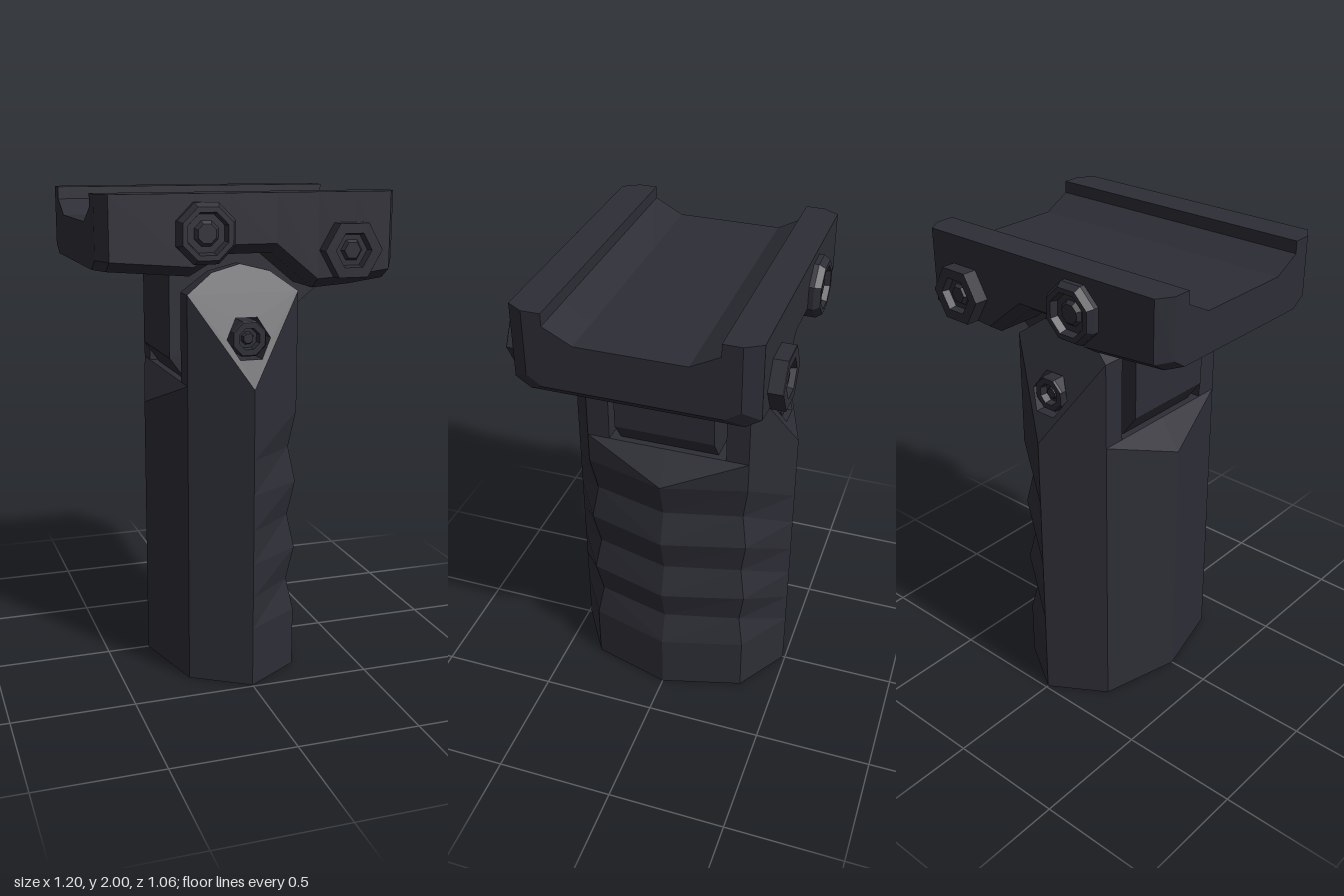
import * as THREE from 'three';

const V = (x, y, z) => new THREE.Vector3(x, y, z);

// Skin matching rings of points and cap both ends; flat(p) gives the 2D cap coordinates
function loft(rings, flat) {
  const out = [], n = rings[0].length;
  const tri = (a, b, c) => [a, b, c].forEach(p => out.push(p.x, p.y, p.z));
  for (let i = 0; i < rings.length - 1; i++) {
    const a = rings[i], b = rings[i + 1];
    for (let j = 0; j < n; j++) {
      const k = (j + 1) % n;
      if (j % 2 === 0) { tri(a[j], b[k], a[k]); tri(a[j], b[j], b[k]); }
      else { tri(a[j], b[j], a[k]); tri(a[k], b[j], b[k]); }
    }
  }
  const first = rings[0], last = rings[rings.length - 1];
  for (const [p, q, r] of THREE.ShapeUtils.triangulateShape(first.map(flat), [])) tri(first[p], first[q], first[r]);
  for (const [p, q, r] of THREE.ShapeUtils.triangulateShape(last.map(flat), [])) tri(last[p], last[r], last[q]);
  const g = new THREE.BufferGeometry();
  g.setAttribute('position', new THREE.Float32BufferAttribute(out, 3));
  return g;
}

// Extrude an outline between z = back and z = front(x, y)
function slab(points, back, front, hole) {
  const shape = new THREE.Shape(points.map(p => new THREE.Vector2(...p)));
  if (hole) shape.holes.push(hole);
  const g = new THREE.ExtrudeGeometry(shape, { depth: 1, bevelEnabled: false });
  const p = g.attributes.position;
  for (let i = 0; i < p.count; i++) p.setZ(i, p.getZ(i) < 0.5 ? back : front(p.getX(i), p.getY(i)));
  return g;
}

// Faceted bolt head with a recessed core, pointing along +z
function boltHead(sides, r, ri, z0, z1, chamfer) {
  const profile = [[r, z0], [r, z1 - chamfer], [r - chamfer * 0.7, z1], [ri, z1], [ri * 0.9, z1 - 0.03],
    [ri * 0.6, z1 - 0.03], [ri * 0.45, z1 - 0.015], [0, z1 - 0.015]];
  const g = new THREE.LatheGeometry(profile.map(p => new THREE.Vector2(...p)), sides, Math.PI / sides);
  return g.rotateX(Math.PI / 2);
}

export function createModel() {
  const group = new THREE.Group();
  const polymer = new THREE.MeshStandardMaterial({ color: 0x2d2d36, flatShading: true });
  polymer.name = 'darkPolymer';

  const add = (name, geometry, x = 0, y = 0, turn = 0) => {
    const g = geometry.index ? geometry.toNonIndexed() : geometry;
    g.computeVertexNormals();
    const m = new THREE.Mesh(g, polymer);
    m.name = name;
    m.position.set(x, y, 0);
    m.rotation.y = turn;
    group.add(m);
    return m;
  };

  // Grip: eight-sided column with finger grooves on +x
  const gripRing = (y, nose, ex, ez) => [
    V(nose, y, 0), V(ex, y, ez), V(0, y, 0.49), V(-0.23, y, 0.345),
    V(y > 1.2 ? -0.23 : -0.32, y, 0), V(-0.23, y, -0.345), V(0, y, -0.49), V(ex, y, -ez)];
  const gripRings = [gripRing(0, 0.325, 0.23, 0.345)];
  [0.25, 0.385, 0.53, 0.67, 0.82, 0.965, 1.12].forEach((y, i) => {
    gripRings.push(i % 2 ? gripRing(y, 0.285, 0.205, 0.322) : gripRing(y, 0.325, 0.23, 0.345));
  });
  gripRings.push(gripRing(1.25, 0.23, 0.23, 0.345));
  add('grip', loft(gripRings, p => new THREE.Vector2(p.x, p.z)));

  // Hexagonal pivot hole
  const pivotY = 1.44;
  const hexHole = () => {
    const h = new THREE.Path();
    for (let i = 0; i < 6; i++) {
      const a = -i * Math.PI / 3, x = 0.09 * Math.cos(a), y = pivotY + 0.09 * Math.sin(a);
      if (i) h.lineTo(x, y); else h.moveTo(x, y);
    }
    h.closePath();
    return h;
  };

  // Ears either side of the hinge, sloping in toward the top
  const slope = (x, y) => 0.49 - (y - 1.25) * 0.145 / 0.36;
  const side = x => 0.49 - Math.abs(x) * 0.145 / 0.23;
  const earOutline = [[0, 1.25], [0.23, 1.61], [0.12, 1.69], [0, 1.72], [-0.12, 1.69], [-0.23, 1.61]];
  for (const turn of [0, Math.PI]) {
    const end = turn ? 'back' : 'front';
    add(end + 'Ear', slab(earOutline, 0.25, slope, hexHole()), 0, 0, turn);
    add(end + 'EarLeftCheek', slab([[0, 1.25], [0.23, 1.25], [0.23, 1.61]], 0.25, side), 0, 0, turn);
    add(end + 'EarRightCheek', slab([[0, 1.25], [-0.23, 1.61], [-0.23, 1.25]], 0.25, side), 0, 0, turn);
  }

  // Hinge block between the ears
  add('hingeBlock', slab([[-0.2, 1.25], [0.2, 1.25], [0.265, 1.34], [0.265, 1.53], [0.41, 1.645],
    [0.41, 1.72], [0.2, 1.84], [-0.265, 1.84], [-0.265, 1.34]], -0.21, () => 0.21, hexHole()));

  // Rail mount: slotted section swept along x over a stepped underside
  const underside = [[-0.6, 1.72], [-0.56, 1.717], [-0.24, 1.69], [-0.1, 1.77], [0.09, 1.77],
    [0.26, 1.63], [0.41, 1.64], [0.56, 1.66], [0.6, 1.7]];
  const mountRings = underside.map(([x, y]) => {
    const w = Math.abs(x) > 0.58 ? 0.405 : 0.47;
    const half = [[w - 0.06, y], [w, y + 0.04], [w, 2], [0.33, 2], [0.33, 1.95], [0.215, 1.89]];
    return [...half.map(([z, h]) => V(x, h, z)), ...half.reverse().map(([z, h]) => V(x, h, -z))];
  });
  add('railMount', loft(mountRings, p => new THREE.Vector2(p.z, p.y)));

  // Bolts on both faces
  for (const turn of [0, Math.PI]) {
    const end = turn ? 'back' : 'front';
    add(end + 'PivotBolt', boltHead(8, 0.075, 0.045, 0, 0.423, 0.008), 0, pivotY, turn);
    add(end + 'RoundBolt', boltHead(8, 0.123, 0.085, 0.4, 0.515, 0.025), -0.195, 1.855, turn);
    add(end + 'HexBolt', boltHead(6, 0.12, 0.075, 0.4, 0.528, 0.002), 0.385, 1.78, turn);
  }
  return group;
}
